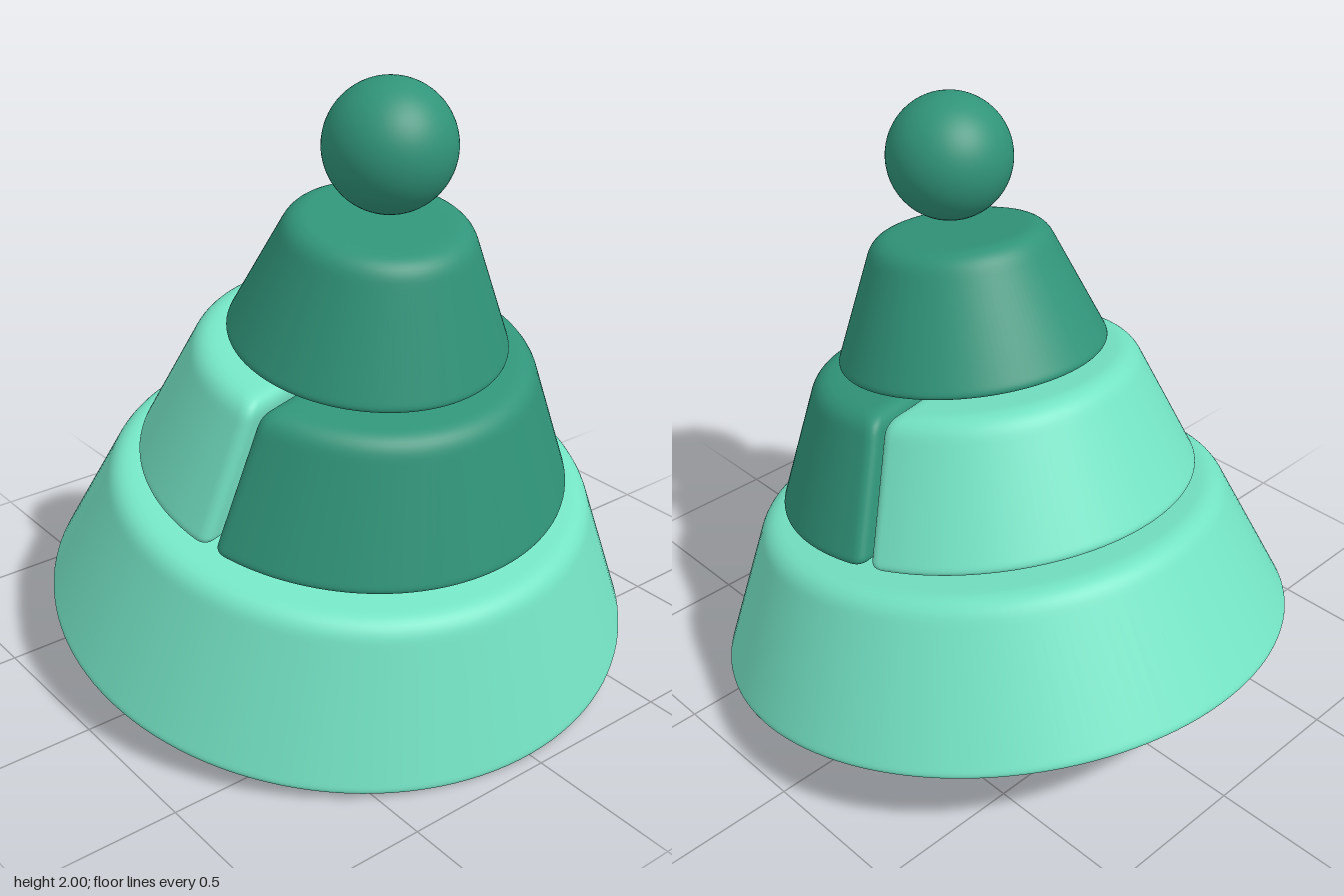
import * as THREE from 'three';

const V = (x, y) => new THREE.Vector2(x, y);

// Points that round the corner p between a and b, with short tangents either side
function roundCorner(a, p, b, cut, steps = 8) {
  const toA = a.clone().sub(p).normalize(), toB = b.clone().sub(p).normalize();
  const at = (dir, d) => p.clone().addScaledVector(dir, d);
  const curve = new THREE.QuadraticBezierCurve(at(toA, cut), p, at(toB, cut));
  return [at(toA, cut * 1.25), ...curve.getPoints(steps), at(toB, cut * 1.25)];
}

// Side profile of a tapered tier: small round at the base, softer one at the top
function tierProfile(r0, y0, r1, y1, cutBase = 0.03, cutTop = 0.06) {
  const base = V(r0, y0), top = V(r1, y1);
  return [
    ...roundCorner(V(r0 - 1, y0), base, top, cutBase),
    ...roundCorner(base, top, V(r1 - 1, y1), cutTop),
  ];
}

function fullTier(r0, y0, r1, y1) {
  const points = [V(0, y0), ...tierProfile(r0, y0, r1, y1), V(0, y1)];
  return new THREE.LatheGeometry(points, 128);
}

// Rounded half-disc outline, counter-clockwise from above, on the +x side of x = g
function halfOutline(R, g, c) {
  const full = Math.acos(g / R), a = full - c / R, z = Math.sqrt(R * R - g * g);
  const pts = [];
  for (let i = 0; i <= 64; i++) {
    const t = -a + (2 * a * i) / 64;
    pts.push(V(R * Math.cos(t), R * Math.sin(t)));
  }
  const corner = (from, p, to) =>
    new THREE.QuadraticBezierCurve(from, p, to).getPoints(8).slice(1);
  pts.push(...corner(pts[64], V(g, z), V(g, z - c)));
  for (let i = 1; i < 8; i++) pts.push(V(g, (z - c) * (1 - i / 4)));
  pts.push(V(g, c - z), ...corner(V(g, c - z), V(g, -z), pts[0]).slice(0, -1));
  return pts;
}

// Half of a tier, lofted through rounded half-disc sections
function halfTier(r0, y0, r1, y1, gap) {
  const side = tierProfile(r0, y0, r1, y1);
  const face = tierProfile(0, y0, 0, y1); // inset of the flat face per level
  const pos = [], index = [];
  let n = 0;
  side.forEach((p, k) => {
    const ring = halfOutline(p.x, gap - face[k].x, 0.04);
    n = ring.length;
    ring.forEach((q) => pos.push(q.x, p.y, -q.y));
  });
  for (let k = 0; k < side.length - 1; k++) {
    for (let j = 0; j < n; j++) {
      const a = k * n + j, b = k * n + ((j + 1) % n);
      index.push(a, b, b + n, a, b + n, a + n);
    }
  }
  // Flat caps
  const bottom = pos.length / 3, top = bottom + 1, last = (side.length - 1) * n;
  pos.push(r0 * 0.4, y0, 0, r1 * 0.4, y1, 0);
  for (let j = 0; j < n; j++) {
    const next = (j + 1) % n;
    index.push(bottom, next, j, top, last + j, last + next);
  }
  const geometry = new THREE.BufferGeometry();
  geometry.setAttribute('position', new THREE.Float32BufferAttribute(pos, 3));
  geometry.setIndex(index);
  geometry.computeVertexNormals();
  return geometry;
}

export function createModel() {
  const light = new THREE.MeshStandardMaterial({ color: 0x74e3c4 });
  light.name = 'light mint';
  const dark = new THREE.MeshStandardMaterial({ color: 0x309479 });
  dark.name = 'deep green';

  const model = new THREE.Group();
  model.name = 'tieredCone';
  const add = (name, geometry, material) => {
    const mesh = new THREE.Mesh(geometry, material);
    mesh.name = name;
    model.add(mesh);
    return mesh;
  };

  // Stacked tiers along the cone axis
  add('baseTier', fullTier(0.98, 0, 0.773, 0.492), light);
  const middle = [0.705, 0.535, 0.527, 0.972, 0.012];
  const split = THREE.MathUtils.degToRad(13.5);
  add('middleTierLeftHalf', halfTier(...middle), dark).rotation.y = split;
  add('middleTierRightHalf', halfTier(...middle), light).rotation.y = split + Math.PI;
  add('topTier', fullTier(0.45, 1.0, 0.278, 1.41), dark);

  // Ball floating above the tip
  add('ball', new THREE.SphereGeometry(0.202, 64, 40), dark).position.y = 1.646;

  // Lean the whole stack
  const axis = new THREE.Vector3(0.186, 1, 0.028).normalize();
  model.quaternion.setFromUnitVectors(new THREE.Vector3(0, 1, 0), axis);
  model.position.y = 0.182;

  const root = new THREE.Group();
  root.name = 'leaningTieredCone';
  root.add(model);
  return root;
}
